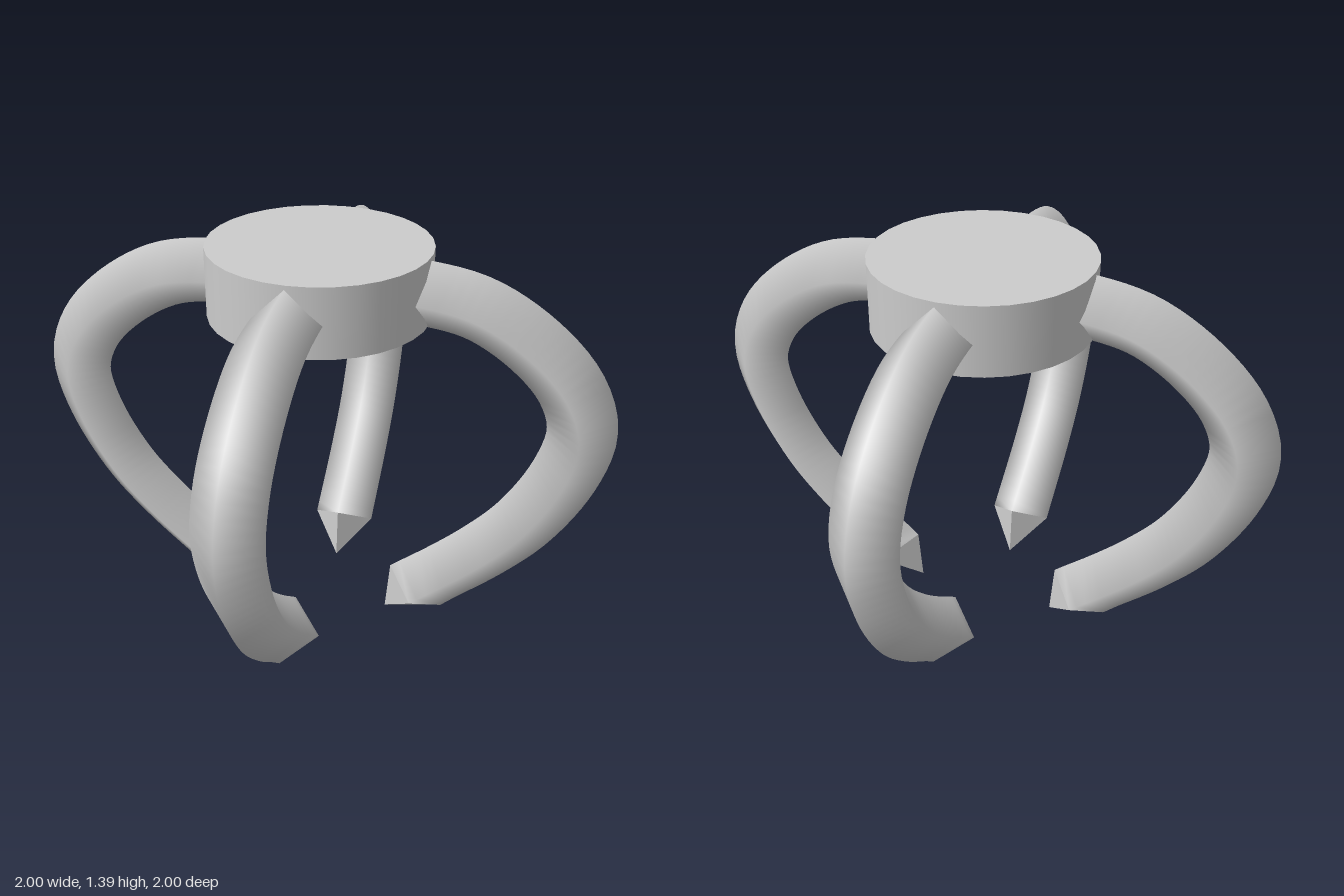
import * as THREE from 'three';

const material = new THREE.MeshStandardMaterial({ color: 0xcccccc });
const RADIUS = 0.1125;
const TIP = new THREE.Vector3(0.26, 0, 0);

// Centre line of one claw, from inside the hub out and down to the tip
const path = new THREE.CatmullRomCurve3([
  [0.22, 1.263], [0.37, 1.262], [0.54, 1.228], [0.72, 1.12], [0.84, 0.99],
  [0.888, 0.85], [0.852, 0.68], [0.738, 0.47], [0.6, 0.315], [0.372, 0.115],
].map(([x, y]) => new THREE.Vector3(x, y, 0)));

// Four corners of the diamond cross-section: outer, left, inner, right
function ring(u) {
  const c = path.getPointAt(u);
  const t = path.getTangentAt(u);
  const n = new THREE.Vector3(-t.y, t.x, 0);
  // the cut at the lower end is slightly slanted
  n.lerp(new THREE.Vector3(0.86, -0.62, 0), THREE.MathUtils.smoothstep(u, 0.93, 1));
  return [0, 1, 2, 3].map((k) => {
    const a = k * Math.PI / 2;
    return c.clone().addScaledVector(n, RADIUS * Math.cos(a))
      .add(new THREE.Vector3(0, 0, RADIUS * Math.sin(a)));
  });
}

// Smooth-shaded diamond sweep along the path
function armGeometry(steps = 48) {
  const points = [];
  const index = [];
  for (let i = 0; i <= steps; i++) {
    points.push(...ring(i / steps));
    if (i === steps) break;
    for (let k = 0; k < 4; k++) {
      const a = i * 4 + k;
      const b = i * 4 + (k + 1) % 4;
      index.push(a, b, a + 4, b, b + 4, a + 4);
    }
  }
  const geometry = new THREE.BufferGeometry().setFromPoints(points);
  geometry.setIndex(index);
  geometry.computeVertexNormals();
  return geometry;
}

// Pointed four-sided cap at the end of the claw
function tipGeometry() {
  const corners = ring(1);
  const points = corners.flatMap((p, k) => [p, corners[(k + 1) % 4], TIP]);
  const geometry = new THREE.BufferGeometry().setFromPoints(points);
  geometry.computeVertexNormals();
  return geometry;
}

export function createModel() {
  const model = new THREE.Group();
  model.name = 'fourClawGrabber';

  const add = (parent, geometry, name) => {
    const mesh = new THREE.Mesh(geometry, material);
    mesh.name = name;
    parent.add(mesh);
    return mesh;
  };

  // Round hub
  const hub = add(model, new THREE.CylinderGeometry(0.37, 0.37, 0.235, 32), 'hub');
  hub.position.set(0, 1.272, -0.017);

  // Four claws around the hub
  const arm = armGeometry();
  const tip = tipGeometry();
  ['leftClaw', 'backClaw', 'rightClaw', 'frontClaw'].forEach((name, i) => {
    const claw = new THREE.Group();
    claw.name = name;
    add(claw, arm, 'clawArm');
    add(claw, tip, 'clawTip');
    claw.rotation.y = i * Math.PI / 2 - 0.013;
    model.add(claw);
  });
  return model;
}
